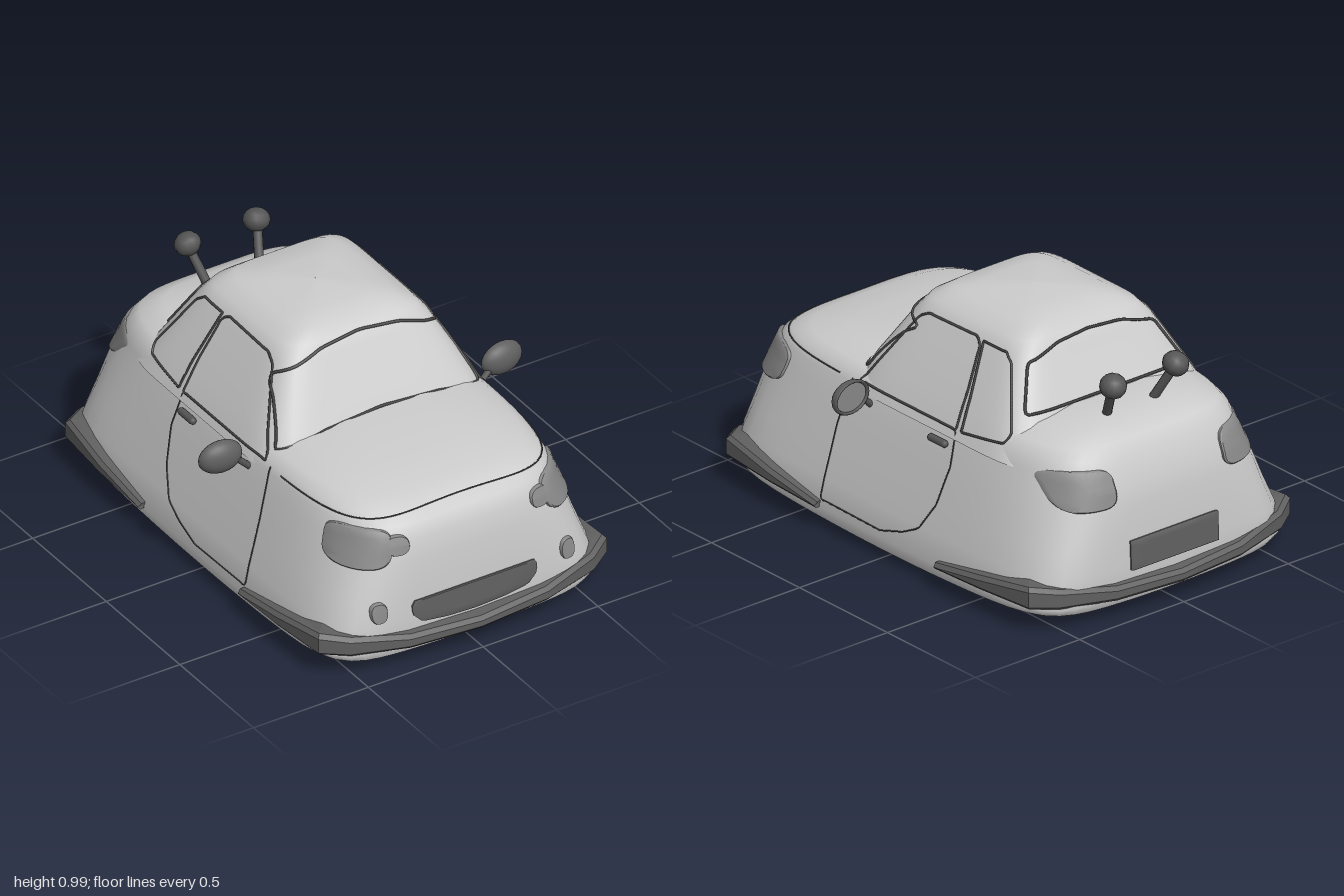
import * as THREE from 'three';
import { toCreasedNormals } from 'three/addons/utils/BufferGeometryUtils.js';

const mat = (color, extra = {}) => new THREE.MeshStandardMaterial({ color, ...extra });
const V = (x, y, z) => new THREE.Vector3(x, y, z);
const { lerp, clamp, degToRad } = THREE.MathUtils;

// Plan rings: [y, half width, front z, back z, squareness]
const BODY = [
  [0.05, 0.6, 0.93, -0.93, 8], [0.09, 0.62, 0.945, -0.95, 8], [0.2, 0.595, 0.94, -0.945, 8],
  [0.3, 0.567, 0.935, -0.94, 6.5], [0.42, 0.535, 0.925, -0.93, 5.5], [0.5, 0.51, 0.91, -0.915, 5],
  [0.56, 0.492, 0.885, -0.89, 5], [0.595, 0.475, 0.84, -0.87, 5], [0.625, 0.44, 0.76, -0.84, 5],
  [0.65, 0.36, 0.6, -0.77, 5], [0.67, 0.2, 0.36, -0.62, 5], [0.675, 0.001, 0.001, -0.001, 5],
];
const CABIN = [
  [0.55, 0.5, 0.37, -0.68, 8], [0.6, 0.478, 0.345, -0.64, 8], [0.67, 0.445, 0.31, -0.595, 8],
  [0.88, 0.335, 0.18, -0.475, 8], [0.93, 0.295, 0.15, -0.445, 7], [0.965, 0.225, 0.1, -0.4, 6],
  [0.98, 0.14, 0.01, -0.28, 5], [0.987, 0.001, -0.14, -0.142, 5],
];

// Interpolated ring at a height
function ringAt(rings, y) {
  let i = 0;
  while (i < rings.length - 2 && y > rings[i + 1][0]) i++;
  const a = rings[i], b = rings[i + 1], f = clamp((y - a[0]) / (b[0] - a[0]), 0, 1);
  const [, hw, zf, zb, n] = a.map((v, k) => lerp(v, b[k], f));
  return { hw, zc: (zf + zb) / 2, zr: (zf - zb) / 2, n };
}
const rest = (u, n) => Math.pow(Math.max(0, 1 - Math.pow(Math.min(1, Math.abs(u)), n)), 1 / n);

// Surface points: round the plan, on a flank, and on the front or back face
function around(rings, t, y, off = 0) {
  const r = ringAt(rings, y), c = Math.cos(t), s = Math.sin(t);
  const k = 1 / Math.pow(Math.abs(c) ** r.n + Math.abs(s) ** r.n, 1 / r.n);
  return V(c * k * r.hw + c * off, y, r.zc + s * k * r.zr + s * off);
}
const flank = (sx) => (z, y, off = 0) => {
  const x = Math.max(...[BODY, CABIN].map((g, i) => {
    if (i && y < 0.56) return 0;
    const r = ringAt(g, y);
    return r.hw * rest((z - r.zc) / r.zr, r.n);
  }));
  return V(sx * (x + off), y, z);
};
const face = (rings, sz) => (x, y, off = 0) => {
  const r = ringAt(rings, y);
  return V(x, y, r.zc + sz * (r.zr * rest(x / r.hw, r.n) + off));
};

// Skin over rows of points, each row a closed loop
function skin(rows) {
  const n = rows[0].length, idx = [];
  for (let i = 0; i < rows.length - 1; i++) for (let j = 0; j < n; j++) {
    const a = i * n + j, b = i * n + (j + 1) % n;
    idx.push(a, a + n, b, b, a + n, b + n);
  }
  const g = new THREE.BufferGeometry().setFromPoints(rows.flat());
  g.setIndex(idx);
  g.computeVertexNormals();
  return g;
}
const SEG = 96;
const loop = (f) => Array.from({ length: SEG }, (_, j) => f(j / SEG * Math.PI * 2));

// Evenly resampled polyline
function resample(pts, n, closed) {
  const p = new THREE.CurvePath(), q = pts.map((a) => new THREE.Vector2(...a));
  if (closed) q.push(q[0]);
  for (let i = 0; i < q.length - 1; i++) p.add(new THREE.LineCurve(q[i], q[i + 1]));
  const out = p.getSpacedPoints(n);
  if (closed) out.pop();
  return out;
}
const oval = (cx, cy, rx, ry, pow = 1) => Array.from({ length: 28 }, (_, i) => {
  const a = i / 28 * Math.PI * 2, c = Math.cos(a), s = Math.sin(a);
  return [cx + rx * Math.sign(c) * Math.abs(c) ** pow, cy + ry * Math.sign(s) * Math.abs(s) ** pow];
});

export function createModel() {
  const root = new THREE.Group();
  const paint = mat(0xcccccc), dark = mat(0x555555), line = mat(0x444444);
  const lamp = mat(0x888888, { side: THREE.DoubleSide });
  const trim = mat(0x606060, { side: THREE.DoubleSide });
  const add = (name, geo, m, parent = root) => {
    const mesh = new THREE.Mesh(geo, m);
    mesh.name = name;
    parent.add(mesh);
    return mesh;
  };
  // Raised pad following a surface
  const patch = (name, outline, surf, h, m) => {
    const pts = resample(outline, 56, true);
    const c = pts.reduce((s, p) => s.add(p), new THREE.Vector2()).divideScalar(pts.length);
    const rows = [[1, -0.01], [1, h * 0.7], [0.94, h], [0.6, h], [0.3, h], [0.001, h]].map(([k, off]) =>
      pts.map((p) => surf(lerp(c.x, p.x, k), lerp(c.y, p.y, k), off)));
    add(name, toCreasedNormals(skin(rows), 0.6), m);
  };
  // Thin strip following a surface
  const strip = (name, pts, surf, r, closed) => {
    const p = resample(pts, 64, closed).map((q) => surf(q.x, q.y, 0.001));
    add(name, new THREE.TubeGeometry(new THREE.CatmullRomCurve3(p, closed), 160, r, 5, closed), line);
  };

  // Body shell with bowed floor; the rear deck rises a little
  const floorY = (p) => 0.03 * (p.x / 0.6) ** 2 + 0.04 * (p.z / 0.93) ** 2;
  const bodyRows = BODY.map((r, i) => loop((t) => {
    const p = around(BODY, t, r[0]);
    if (i === 0) p.y = floorY(p);
    p.y += 0.035 * clamp((r[0] - 0.56) / 0.1, 0, 1) * clamp(-p.z / 0.55, 0, 1);
    return p;
  }));
  add('body', skin(bodyRows), paint);
  const floorRows = [0.001, 0.25, 0.5, 0.75, 1].map((k) => loop((t) => {
    const p = around(BODY, t, 0.05);
    p.set(p.x * k, 0, p.z * k);
    p.y = floorY(p);
    return p;
  }));
  add('underside', skin(floorRows), mat(0x080808));

  // Cabin and roof
  add('cabin', skin(CABIN.map((r) => loop((t) => around(CABIN, t, r[0])))), paint);

  // Bumpers: [x, z, bottom, top] along one half
  const half = [[0, 1, 0.08, 0.13], [0.3, 0.98, 0.085, 0.142], [0.53, 0.928, 0.1, 0.178],
    [0.628, 0.86, 0.105, 0.192], [0.648, 0.6, 0.1, 0.155], [0.645, 0.34, 0.088, 0.112]];
  const path = [...half.slice(1).reverse().map(([x, ...q]) => [-x, ...q]), ...half];
  const bumperRows = path.map(([x, z, b, t]) => {
    const X = x * 0.9, Z = Math.abs(x) > 0.64 ? z : z * 0.92;
    return [V(X, b + 0.005, Z), V(x * 0.985, b, z * 0.99), V(x, b + 0.012, z), V(x, t - 0.015, z),
      V(x * 0.98, t, z * 0.985), V(X, t + 0.005, Z)];
  });
  const cap = (row) => row.map(() => row.reduce((s, p) => s.add(p), V(0, 0, 0)).divideScalar(row.length));
  const bumperGeo = toCreasedNormals(skin([cap(bumperRows[0]), ...bumperRows, cap(bumperRows.at(-1))]), 0.4);
  add('frontBumper', bumperGeo, trim);
  add('rearBumper', bumperGeo, trim).rotation.y = Math.PI;

  // Front and rear details
  const front = face(BODY, 1), back = face(BODY, -1);
  patch('grille', [[-0.26, 0.26], [0.26, 0.26], [0.275, 0.235], [0.265, 0.2], [0.23, 0.165], [0.12, 0.15],
    [0, 0.145], [-0.12, 0.15], [-0.23, 0.165], [-0.265, 0.2], [-0.275, 0.235]], front, 0.008, trim);
  patch('rearPlate', [[-0.21, 0.17], [0.21, 0.17], [0.21, 0.29], [-0.21, 0.29]], back, 0.008, trim);
  const windTop = [[0.36, 0.83], [0.325, 0.862], [0.17, 0.908], [0, 0.925], [-0.17, 0.908], [-0.325, 0.862], [-0.36, 0.83]];
  strip('windscreenFrame', [[-0.44, 0.625], [-0.25, 0.66], [0, 0.675], [0.25, 0.66], [0.44, 0.625], ...windTop],
    face(CABIN, 1), 0.006, true);
  strip('rearWindowFrame', [[-0.38, 0.71], [0.38, 0.71], [0.3, 0.865], [0.15, 0.905], [0, 0.915], [-0.15, 0.905],
    [-0.3, 0.865]], face(CABIN, -1), 0.006, true);
  strip('bonnetSeam', Array.from({ length: 21 }, (_, i) => {
    const a = 24 + i * 6.6;
    return [degToRad(a), 0.575 + 0.02 * Math.sin(degToRad(a)) ** 3];
  }), (t, y, o) => around(BODY, t, y, o), 0.003, false);

  for (const s of [1, -1]) {
    const side = s > 0 ? 'left' : 'right', surf = flank(s);
    // Lamps
    patch(side + 'Headlamp', oval(degToRad(47.5), 0.49, degToRad(9.5), 0.07, 0.55),
      (t, y, o) => { const p = around(BODY, t, y, o); p.x *= s; return p; }, 0.015, lamp);
    patch(side + 'SmallLamp', oval(s * 0.31, 0.498, 0.045, 0.036, 0.8), front, 0.015, lamp);
    patch(side + 'FogLamp', oval(s * 0.41, 0.253, 0.032, 0.04, 0.8), front, 0.015, lamp);
    patch(side + 'TailLamp', oval(s * 0.36, 0.51, 0.105, 0.07, 0.5), back, 0.015, lamp);

    // Side windows and door
    strip(side + 'DoorWindowFrame', [[0.27, 0.585], [0.1, 0.865], [0.06, 0.888], [-0.22, 0.893], [-0.245, 0.87],
      [-0.27, 0.72], [-0.28, 0.585]], surf, 0.005, true);
    strip(side + 'QuarterWindowFrame', [[-0.255, 0.888], [-0.38, 0.888], [-0.42, 0.86], [-0.54, 0.645], [-0.525, 0.612],
      [-0.31, 0.585], [-0.295, 0.7]], surf, 0.005, true);
    strip(side + 'DoorSeam', [[0.31, 0.58], [0.332, 0.4], [0.34, 0.12], [0, 0.115], [-0.12, 0.15], [-0.2, 0.19],
      [-0.265, 0.3], [-0.295, 0.45], [-0.28, 0.58]], surf, 0.003, false);
    const handle = add(side + 'DoorHandle', new THREE.CapsuleGeometry(0.015, 0.075, 4, 10), dark);
    handle.rotation.x = Math.PI / 2;
    handle.position.copy(surf(-0.21, 0.525, 0.012));

    // Wing mirror: domed shell, rim, glass and arm
    const mirror = new THREE.Group();
    mirror.name = side + 'Mirror';
    mirror.position.set(s * 0.612, 0.593, 0.165);
    mirror.rotation.y = s * 0.08;
    root.add(mirror);
    const shell = add('mirrorShell', new THREE.SphereGeometry(1, 20, 8, 0, Math.PI * 2, 0, Math.PI / 2).rotateX(Math.PI / 2), trim, mirror);
    shell.scale.set(0.09, 0.068, 0.05);
    add('mirrorRim', new THREE.TorusGeometry(0.082, 0.008, 6, 24), dark, mirror).scale.y = 0.75;
    add('mirrorGlass', new THREE.CircleGeometry(0.082, 24).rotateY(Math.PI), lamp, mirror).scale.y = 0.75;
    const rod = (name, a, b, r) => add(name, new THREE.TubeGeometry(new THREE.LineCurve3(a, b), 1, r, 10), dark);
    rod(side + 'MirrorArm', V(s * 0.48, 0.505, 0.19), V(s * 0.56, 0.58, 0.185), 0.013);

    // Knobbed rod on the rear deck
    rod(side + 'DeckRod', V(s * 0.105, 0.66, -0.68), V(s * 0.147, 0.82, -0.765), 0.018);
    const knob = add(side + 'DeckKnob', new THREE.SphereGeometry(0.052, 12, 8), dark);
    knob.position.set(s * 0.15, 0.84, -0.775);
    knob.scale.y = 0.88;
    knob.rotation.set(-0.45, 0, -s * 0.25);
  }
  return root;
}
